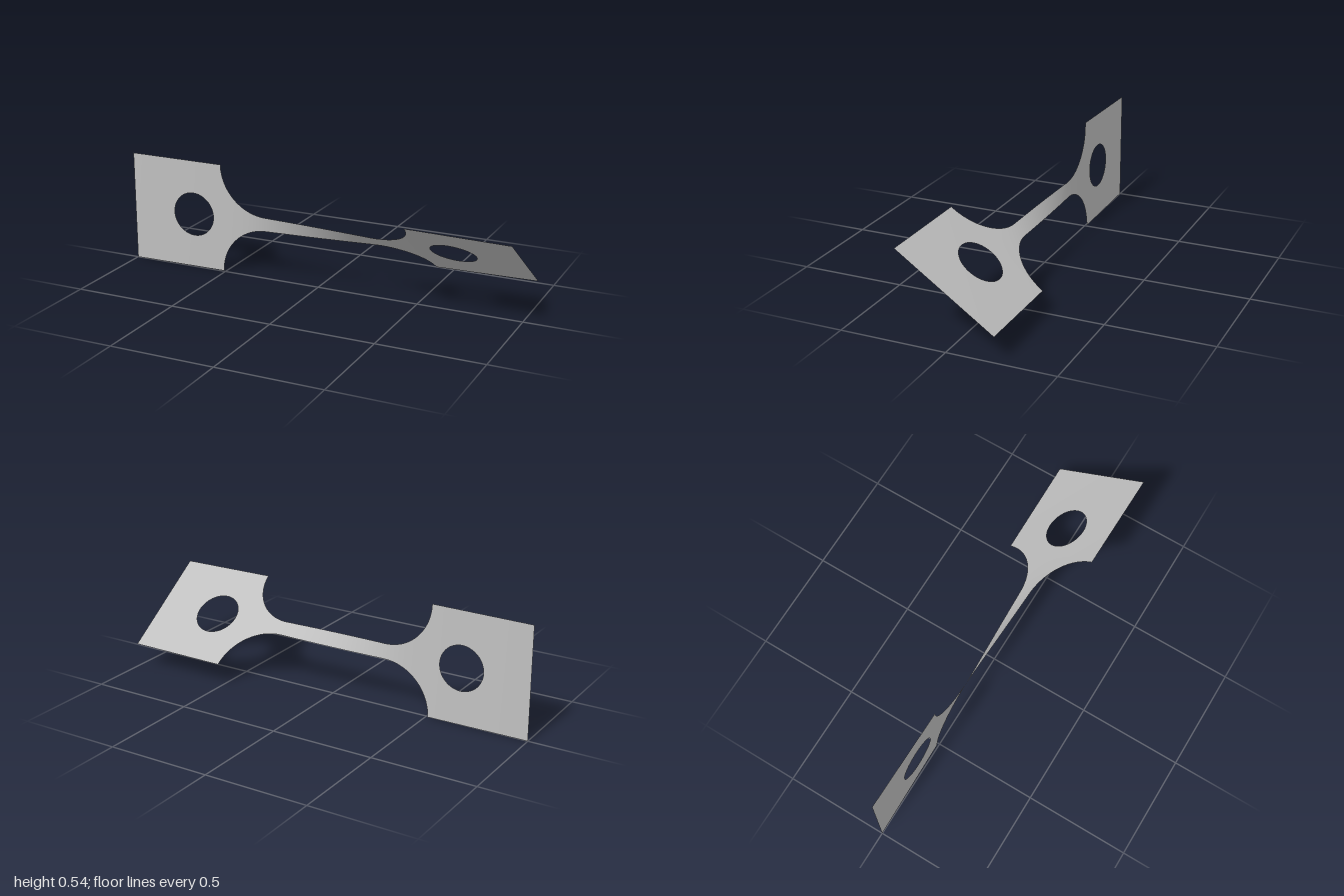
import * as THREE from 'three';

const HALF = 0.2705, NECK = 0.036, SHOULDER = 0.51, HOLE_X = 0.667, HOLE_R = 0.108;
const FILLET = HALF - NECK, FILLET_X = SHOULDER - FILLET;
const TOTAL_TWIST = THREE.MathUtils.degToRad(55.2);

// Half width of the flat specimen at a distance along its length
function halfWidth(x) {
  const a = Math.abs(x);
  if (a >= SHOULDER) return HALF;
  if (a <= FILLET_X) return NECK;
  return HALF - Math.sqrt(Math.max(0, FILLET ** 2 - (a - FILLET_X) ** 2));
}

// Twist accumulates mostly where the specimen is narrow
const STEPS = 1000;
const rate = (x) => halfWidth(x) ** -1.5;
const sums = [0];
for (let i = 0; i < STEPS; i++) sums.push(sums[i] + rate(-1 + (2 * (i + 0.5)) / STEPS));
const scale = TOTAL_TWIST / sums[STEPS];

function twistAt(x) {
  const t = THREE.MathUtils.clamp((x + 1) / 2, 0, 1) * STEPS;
  const i = Math.min(Math.floor(t), STEPS - 1);
  return scale * THREE.MathUtils.lerp(sums[i], sums[i + 1], t - i);
}

// Sheet from a grid of flat points, point(i, j) = [x, v], bent by the twist
function twistedSheet(rows, cols, point) {
  const pos = [], nor = [], index = [];
  for (let i = 0; i <= rows; i++) {
    for (let j = 0; j <= cols; j++) {
      const [x, v] = point(i, j);
      const a = twistAt(x), c = Math.cos(a), s = Math.sin(a);
      const slope = scale * rate(x) * STEPS / 2;
      const n = new THREE.Vector3(-v * slope, -s, c).normalize();
      pos.push(x, HALF + v * c, v * s);
      nor.push(n.x, n.y, n.z);
      if (i < rows && j < cols) {
        const p = i * (cols + 1) + j, q = p + cols + 1;
        index.push(p, q, q + 1, p, q + 1, p + 1);
      }
    }
  }
  const g = new THREE.BufferGeometry();
  g.setAttribute('position', new THREE.Float32BufferAttribute(pos, 3));
  g.setAttribute('normal', new THREE.Float32BufferAttribute(nor, 3));
  g.setIndex(index);
  return g;
}

// Grip plate: rings from the round hole out to the rectangular edge
function gripGeometry(side) {
  const cx = side * HOLE_X;
  const x0 = side < 0 ? -1 : SHOULDER, x1 = side < 0 ? -SHOULDER : 1;
  const angles = [];
  for (let i = 0; i < 64; i++) angles.push((i / 64) * Math.PI * 2);
  for (const x of [x0, x1]) {
    for (const v of [-HALF, HALF]) angles.push((Math.atan2(v, x - cx) + Math.PI * 2) % (Math.PI * 2));
  }
  angles.sort((a, b) => a - b);
  angles.push(Math.PI * 2);
  const rings = 6;
  return twistedSheet(rings, angles.length - 1, (i, j) => {
    const c = Math.cos(angles[j]), s = Math.sin(angles[j]);
    const toX = (c > 0 ? x1 - cx : cx - x0) / Math.max(Math.abs(c), 1e-6);
    const toV = HALF / Math.max(Math.abs(s), 1e-6);
    const r = THREE.MathUtils.lerp(HOLE_R, Math.min(toX, toV), i / rings);
    return [cx + r * c, r * s];
  });
}

// Waist: fillet, straight neck, fillet
function waistGeometry() {
  const xs = [], arc = 24, straight = 32;
  for (let i = 0; i < arc; i++) xs.push(-FILLET_X - FILLET * Math.cos((i / arc) * Math.PI / 2));
  for (let i = 0; i <= straight; i++) xs.push(FILLET_X * (-1 + (2 * i) / straight));
  for (let i = arc - 1; i >= 0; i--) xs.push(FILLET_X + FILLET * Math.cos((i / arc) * Math.PI / 2));
  const across = 8;
  return twistedSheet(xs.length - 1, across, (i, j) => [xs[i], halfWidth(xs[i]) * (-1 + (2 * j) / across)]);
}

export function createModel() {
  const group = new THREE.Group();
  group.name = 'twistedTestStrip';
  const grey = new THREE.MeshStandardMaterial({ color: 0xc0c0c0, side: THREE.DoubleSide });
  grey.name = 'light grey';
  const add = (name, geometry) => {
    const mesh = new THREE.Mesh(geometry, grey);
    mesh.name = name;
    group.add(mesh);
  };
  add('rightGripPlate', gripGeometry(-1));
  add('twistedWaist', waistGeometry());
  add('leftGripPlate', gripGeometry(1));
  return group;
}
